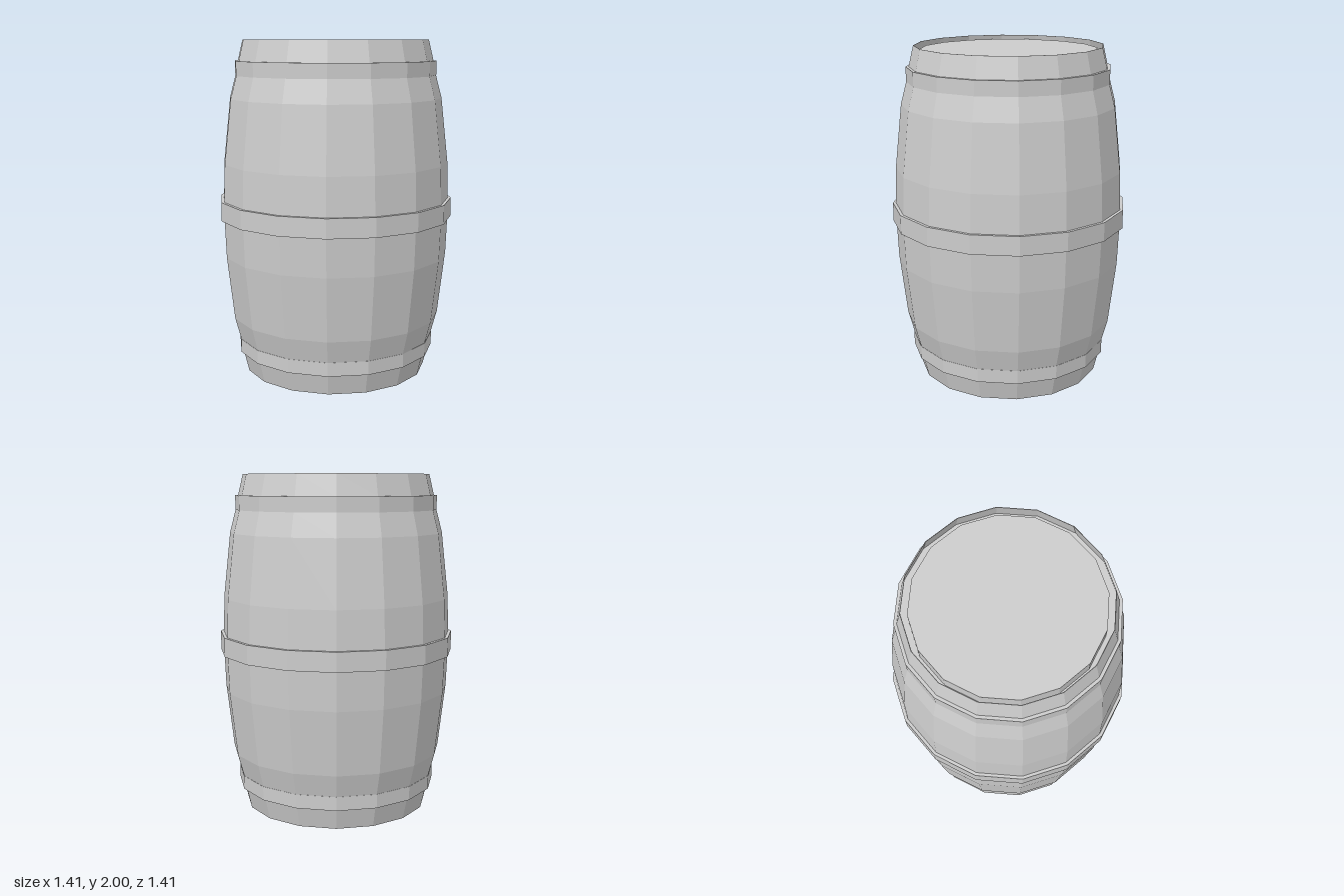
import * as THREE from 'three';

const SIDES = 16;

// Faceted solid of revolution from [radius, height] points
function turned(name, points, material) {
  const lathe = new THREE.LatheGeometry(points.map(([r, y]) => new THREE.Vector2(r, y)), SIDES);
  const geometry = lathe.toNonIndexed();
  geometry.computeVertexNormals();
  const mesh = new THREE.Mesh(geometry, material);
  mesh.name = name;
  return mesh;
}

// Flat band around the barrel, from its lower lip to its upper lip
function hoop(name, inner, outer, bottom, top, material) {
  return turned(name, [[inner, bottom], [outer, bottom], [outer, top], [inner, top]], material);
}

export function createModel() {
  const group = new THREE.Group();
  group.name = 'barrel';
  const grey = new THREE.MeshStandardMaterial({ color: 0xcccccc });
  grey.name = 'light grey';

  // Bulging staves, mirrored about mid height, with a thin rim and recessed head
  const lower = [[0.555, 0], [0.585, 0.125], [0.6, 0.205], [0.636, 0.34], [0.679, 0.72], [0.687, 0.945]];
  const upper = lower.map(([r, y]) => [r, 2 - y]).reverse();
  const recess = [[0.552, 2], [0.58, 1.89], [0, 1.89]];
  group.add(turned('staves', [[0, 0], ...lower, ...upper, ...recess], grey));

  // Raised lid inside the rim
  group.add(turned('lid', [[0.52, 1.885], [0.52, 1.977], [0, 1.977]], grey));

  // Hoops
  group.add(hoop('bottomHoop', 0.58, 0.602, 0.125, 0.207, grey));
  group.add(hoop('middleHoop', 0.68, 0.705, 0.945, 1.058, grey));
  group.add(hoop('topHoop', 0.58, 0.602, 1.793, 1.878, grey));

  return group;
}
